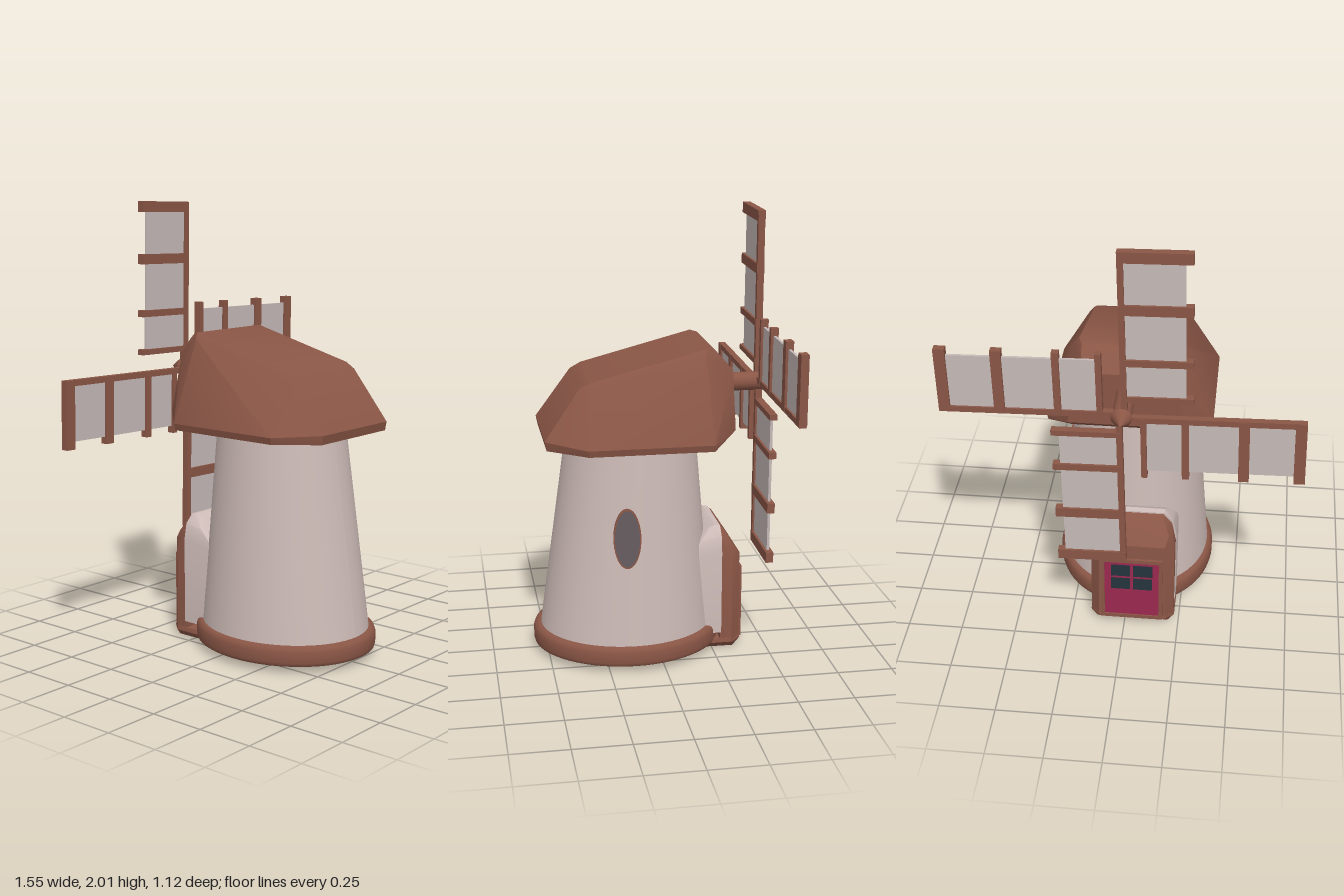
import * as THREE from 'three';
import { toCreasedNormals } from 'three/addons/utils/BufferGeometryUtils.js';
import { ConvexGeometry } from 'three/addons/geometries/ConvexGeometry.js';

const paint = (name, color) => {
  const m = new THREE.MeshStandardMaterial({ color });
  m.name = name;
  return m;
};

export function createModel() {
  const wood = paint('brown wood', 0x8a5646);
  const plaster = paint('pale plaster', 0xcdbbb7);
  const canvas = paint('sail canvas', 0xc6bab8);
  const crimson = paint('crimson door', 0x9c2850);
  const glass = paint('grey glass', 0x635a5c);
  const pane = paint('dark pane', 0x26343c);

  const model = new THREE.Group();
  model.name = 'windmill';

  const add = (parent, name, geometry, material, x = 0, y = 0, z = 0) => {
    const mesh = new THREE.Mesh(geometry, material);
    mesh.name = name;
    mesh.position.set(x, y, z);
    parent.add(mesh);
    return mesh;
  };
  const box = (parent, name, material, w, h, d, x, y, z) =>
    add(parent, name, new THREE.BoxGeometry(w, h, d), material, x, y, z);
  // Convex block from [halfWidth, y, z] corners mirrored about x = cx
  const hull = (name, material, cx, corners) => {
    const points = corners.flatMap(([w, y, z]) =>
      [new THREE.Vector3(cx + w, y, z), new THREE.Vector3(cx - w, y, z)]);
    return add(model, name, toCreasedNormals(new ConvexGeometry(points), 0.55), material);
  };

  // Tapered oval tower, leaning slightly as it narrows
  const tower = new THREE.CylinderGeometry(1, 1, 1, 64, 1, true);
  const p = tower.attributes.position;
  for (let i = 0; i < p.count; i++) {
    const t = p.getY(i) + 0.5;
    p.setXYZ(i,
      -0.01 + p.getX(i) * (0.347 - 0.072 * t),
      0.09 + 0.95 * t,
      0.13 - 0.025 * t + p.getZ(i) * (0.4 - 0.108 * t));
  }
  tower.computeVertexNormals();
  add(model, 'tower', tower, plaster);

  // Rounded base ring with a closed underside
  const ringProfile = [[0, 0.03], [0.965, 0.03], [0.99, 0.036], [1, 0.05], [1, 0.095],
    [0.985, 0.112], [0.95, 0.12], [0.88, 0.12]].map(([r, y]) => new THREE.Vector2(r, y));
  const ring = add(model, 'baseRing',
    toCreasedNormals(new THREE.LatheGeometry(ringProfile, 64), 0.8), wood, -0.01, 0, 0.13);
  ring.scale.set(0.37, 1, 0.43);

  // Hooded cap with bevelled edges
  hull('roof', wood, -0.008, [
    [0.23, 1.01, 0.505], [0.23, 1.05, 0.513], [0.36, 1.01, 0.335], [0.368, 1.04, 0.34],
    [0.36, 1.01, -0.21], [0.368, 1.04, -0.21], [0.25, 1.01, -0.24], [0.26, 1.075, -0.322],
    [0.19, 1.33, -0.322], [0.2, 1.40, -0.26], [0.2, 1.425, -0.235], [0.215, 1.432, -0.205],
    [0.24, 1.405, -0.19], [0.21, 1.30, 0.305], [0.235, 1.275, 0.30], [0.2, 1.275, 0.355],
  ]);

  // Oval side window: wooden rim with thin glass
  const sideWindow = new THREE.Group();
  sideWindow.name = 'sideWindow';
  const disc = new THREE.CylinderGeometry(1, 1, 1, 40);
  disc.rotateZ(-Math.PI / 2);
  add(sideWindow, 'windowRim', disc, wood).scale.set(0.05, 0.135, 0.061);
  add(sideWindow, 'windowGlass', disc, glass, 0.024).scale.set(0.008, 0.127, 0.055);
  sideWindow.position.set(0.283, 0.615, 0.165);
  sideWindow.rotation.set(0, -0.08, 0.08, 'YZX');
  model.add(sideWindow);

  // Porch: plaster surround, wooden front and sill
  const porchX = -0.035;
  hull('porchSurround', plaster, porchX, [
    [0.195, 0.08, -0.08], [0.195, 0.08, -0.29], [0.195, 0.44, -0.1], [0.195, 0.47, -0.29],
    [0.18, 0.545, -0.29], [0.18, 0.53, -0.2], [0.14, 0.585, -0.29], [0.14, 0.59, -0.265],
    [0.14, 0.575, -0.235],
  ]);
  hull('porchFront', wood, porchX, [
    [0.19, 0.03, -0.285], [0.193, 0.03, -0.34], [0.155, 0.03, -0.382],
    [0.193, 0.44, -0.285], [0.19, 0.42, -0.34], [0.15, 0.455, -0.38],
    [0.175, 0.535, -0.285], [0.165, 0.5, -0.345], [0.135, 0.582, -0.285], [0.135, 0.57, -0.305],
  ]);
  hull('porchSill', wood, porchX, [
    [0.17, 0.003, -0.22], [0.165, 0, -0.35], [0.195, 0.03, -0.15], [0.195, 0.03, -0.34],
    [0.155, 0.015, -0.365], [0.155, 0.035, -0.386], [0.19, 0.05, -0.2], [0.193, 0.05, -0.335],
    [0.155, 0.05, -0.384],
  ]);

  // Door with frame and four panes
  const door = new THREE.Group();
  door.name = 'door';
  door.position.set(porchX, 0.21, -0.384);
  model.add(door);
  box(door, 'doorPanel', crimson, 0.25, 0.31, 0.008, 0, 0, 0);
  for (const s of [-1, 1]) {
    box(door, 'doorJamb', wood, 0.018, 0.346, 0.02, s * 0.134, 0, 0);
    box(door, 'doorRail', wood, 0.25, 0.018, 0.02, 0, s * 0.164, 0);
    for (const y of [0.03, 0.106])
      box(door, 'doorPane', pane, 0.088, 0.064, 0.006, s * 0.051, y, -0.003);
  }

  // Axle and pointed hub
  const hubX = -0.004, hubY = 1.232;
  const axle = add(model, 'axle', new THREE.CylinderGeometry(0.042, 0.042, 0.22, 20), wood,
    hubX, hubY, -0.39);
  axle.rotation.x = Math.PI / 2;
  const tip = add(model, 'hubTip', new THREE.ConeGeometry(0.046, 0.068, 20), wood,
    hubX, hubY, -0.53);
  tip.rotation.x = -Math.PI / 2;

  // Four sails, each with a spar, cross bars and canvas on one side
  const bars = [[0.09, 0.025], [0.265, 0.03], [0.51, 0.045], [0.744, 0.048]];
  const sails = new THREE.Group();
  sails.name = 'sails';
  sails.position.set(hubX, hubY, -0.48);
  sails.rotation.z = -0.022;
  model.add(sails);
  for (let i = 0; i < 4; i++) {
    const sail = new THREE.Group();
    sail.name = 'sail';
    sail.rotation.z = i * Math.PI / 2;
    box(sail, 'spar', wood, 0.026, 0.768, 0.03, -0.012, 0.384, 0);
    box(sail, 'canvas', canvas, 0.245, 0.66, 0.012, -0.147, 0.41, 0);
    for (const [y, h] of bars) box(sail, 'crossBar', wood, 0.3, h, 0.034, -0.152, y, 0);
    sails.add(sail);
  }

  return model;
}
